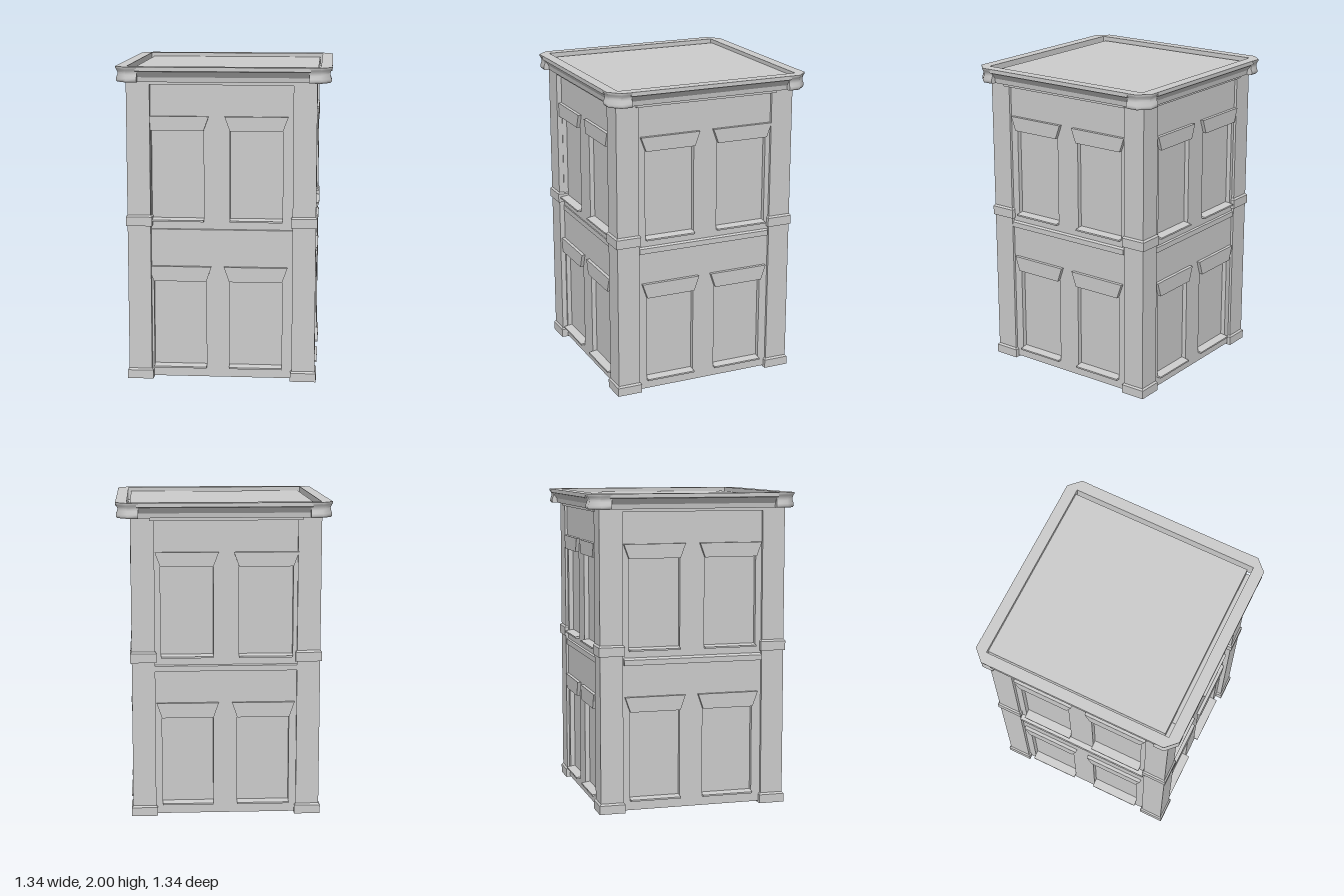
import * as THREE from 'three';
import { toCreasedNormals } from 'three/addons/utils/BufferGeometryUtils.js';

const material = new THREE.MeshStandardMaterial({ color: 0xcccccc });

function add(parent, name, geometry, x = 0, y = 0, z = 0) {
  const mesh = new THREE.Mesh(geometry, material);
  mesh.name = name;
  mesh.position.set(x, y, z);
  parent.add(mesh);
  return mesh;
}

const polygon = (pts) => new THREE.Shape(pts.map(([x, y]) => new THREE.Vector2(x, y)));
const rect = (x0, x1, y0, y1) => [[x0, y0], [x1, y0], [x1, y1], [x0, y1]];
const plate = (shape, depth) => new THREE.ExtrudeGeometry(shape, { depth, bevelEnabled: false });

// Bar along x from a profile of [outward, y] points
function bar(profile, length) {
  const g = plate(polygon(profile), length);
  g.rotateY(-Math.PI / 2);
  g.translate(length / 2, 0, 0);
  return g;
}

// Square collar with a chamfered top
function collar(parent, name, x, z, y0, y1) {
  const half = 0.0825, bevel = 0.012;
  const group = new THREE.Group();
  group.name = name;
  parent.add(group);
  const h = y1 - bevel - y0;
  add(group, name + 'Block', new THREE.BoxGeometry(half * 2, h, half * 2), x, y0 + h / 2, z);
  const top = new THREE.CylinderGeometry((half - 0.01) * Math.SQRT2, half * Math.SQRT2, bevel, 4).toNonIndexed();
  top.rotateY(Math.PI / 4);
  top.computeVertexNormals();
  add(group, name + 'Chamfer', top, x, y1 - bevel / 2, z);
}

// L-shaped cornice corner with a pinched, smooth outer profile
function cornerGeometry() {
  const levels = [[1.905, 0.658], [1.915, 0.666], [1.93, 0.665], [1.95, 0.657],
    [1.965, 0.656], [1.98, 0.663], [1.99, 0.67], [2, 0.671]];
  const pos = [], index = [], n = 7;
  for (const [y, o] of levels) {
    const ring = [[0.53, o], [0.6, o], [o, 0.6], [o, 0.53], [0.6, 0.53], [0.6, 0.6], [0.53, 0.6]];
    for (const [x, z] of ring) pos.push(x, y, z);
  }
  for (let l = 0; l < levels.length - 1; l++) {
    for (let i = 0; i < n; i++) {
      const a = l * n + i, b = l * n + (i + 1) % n;
      index.push(a, b, b + n, a, b + n, a + n);
    }
  }
  const top = (levels.length - 1) * n;
  for (const [a, b, c] of [[0, 1, 5], [0, 5, 6], [1, 2, 5], [2, 3, 5], [3, 4, 5]]) {
    index.push(top + a, top + b, top + c, c, b, a);
  }
  const g = new THREE.BufferGeometry();
  g.setAttribute('position', new THREE.Float32BufferAttribute(pos, 3));
  g.setIndex(index);
  return toCreasedNormals(g, 0.9);
}

// One wall: out = distance of its face, belt = how far the belt stands out
function wall(parent, { name, angle, out, belt, centre, upper, lower }) {
  const side = new THREE.Group();
  side.name = name;
  side.rotation.y = angle;
  parent.add(side);

  const recess = 0.03;
  const face = polygon(rect(centre - 0.46, centre + 0.46, 0.01, 1.93));
  const storeys = [[upper, 1.03, 1.6, 1.69], [lower, 0.075, 0.64, 0.735]];
  for (const [windows, y0, y1, y2] of storeys) {
    for (const [a, b] of windows) {
      face.holes.push(new THREE.Path(polygon(rect(a, b, y0, y1 + 0.005)).getPoints()));
      // Flared lintel above and thin sill below each window
      const lintel = polygon([[a, y1], [b, y1], [b + 0.033, y2], [a - 0.033, y2]]);
      add(side, 'lintel', plate(lintel, 0.03), 0, 0, out - 0.008);
      add(side, 'sill', bar([[out - recess, y0 - 0.005], [out + 0.028, y0 - 0.005],
        [out + 0.028, y0 + 0.005], [out - recess, y0 + 0.012]], b - a), (a + b) / 2);
    }
  }
  add(side, 'wallFace', plate(face, recess), 0, 0, out - recess);
  add(side, 'windowPanels', new THREE.BoxGeometry(0.92, 1.92, 0.03), centre, 0.97, out - recess - 0.015);

  // Belt between the storeys
  add(side, 'belt', bar([[out - 0.01, 0.938], [out + belt, 0.938], [out + belt, 0.972],
    [out - 0.01, 0.985]], 0.9), centre);

  // Frieze and cornice under the roof edge
  add(side, 'frieze', bar(rect(out - 0.01, 0.607, 1.887, 1.925), 0.95), centre);
  add(side, 'cornice', bar([[0.6, 1.905], [0.628, 1.905], [0.632, 1.935], [0.66, 1.972],
    [0.67, 1.975], [0.67, 2], [0.6, 2]], 1.08));
}

export function createModel() {
  const model = new THREE.Group();
  model.name = 'twoStoreyBlock';

  // Four walls
  const upper = [[-0.41, -0.08], [0.08, 0.42]];
  const lower = [[-0.405, -0.08], [0.07, 0.4]];
  const shift = (list, d) => list.map(([a, b]) => [a + d, b + d]);
  wall(model, { name: 'frontWall', angle: 0, out: 0.572, belt: 0.004, centre: -0.012,
    upper: [[-0.455, -0.125], [0.04, 0.37]], lower: [[-0.445, -0.11], [0.035, 0.37]] });
  wall(model, { name: 'leftWall', angle: Math.PI / 2, out: 0.563, belt: 0.017, centre: -0.005, upper, lower });
  wall(model, { name: 'backWall', angle: Math.PI, out: 0.582, belt: 0.01, centre: 0.012,
    upper: shift(upper, 0.012), lower: shift(lower, 0.012) });
  wall(model, { name: 'rightWall', angle: -Math.PI / 2, out: 0.585, belt: 0.033, centre: 0.005, upper, lower });

  // Corner posts with base and mid collars
  for (const x of [-0.532, 0.507]) {
    for (const z of [-0.525, 0.532]) {
      add(model, 'cornerPost', new THREE.BoxGeometry(0.146, 1.92, 0.146), x, 0.96, z);
      collar(model, 'postBase', x, z, 0, 0.067);
      collar(model, 'postBand', x, z, 0.997, 1.067);
    }
  }

  // Cornice corners
  const corner = cornerGeometry();
  for (let i = 0; i < 4; i++) {
    add(model, 'corniceCorner', corner).rotation.y = i * Math.PI / 2;
  }

  // Roof slab, set a little below the cornice top
  add(model, 'roof', new THREE.BoxGeometry(1.165, 0.06, 1.17), 0, 1.945, -0.015);
  return model;
}
